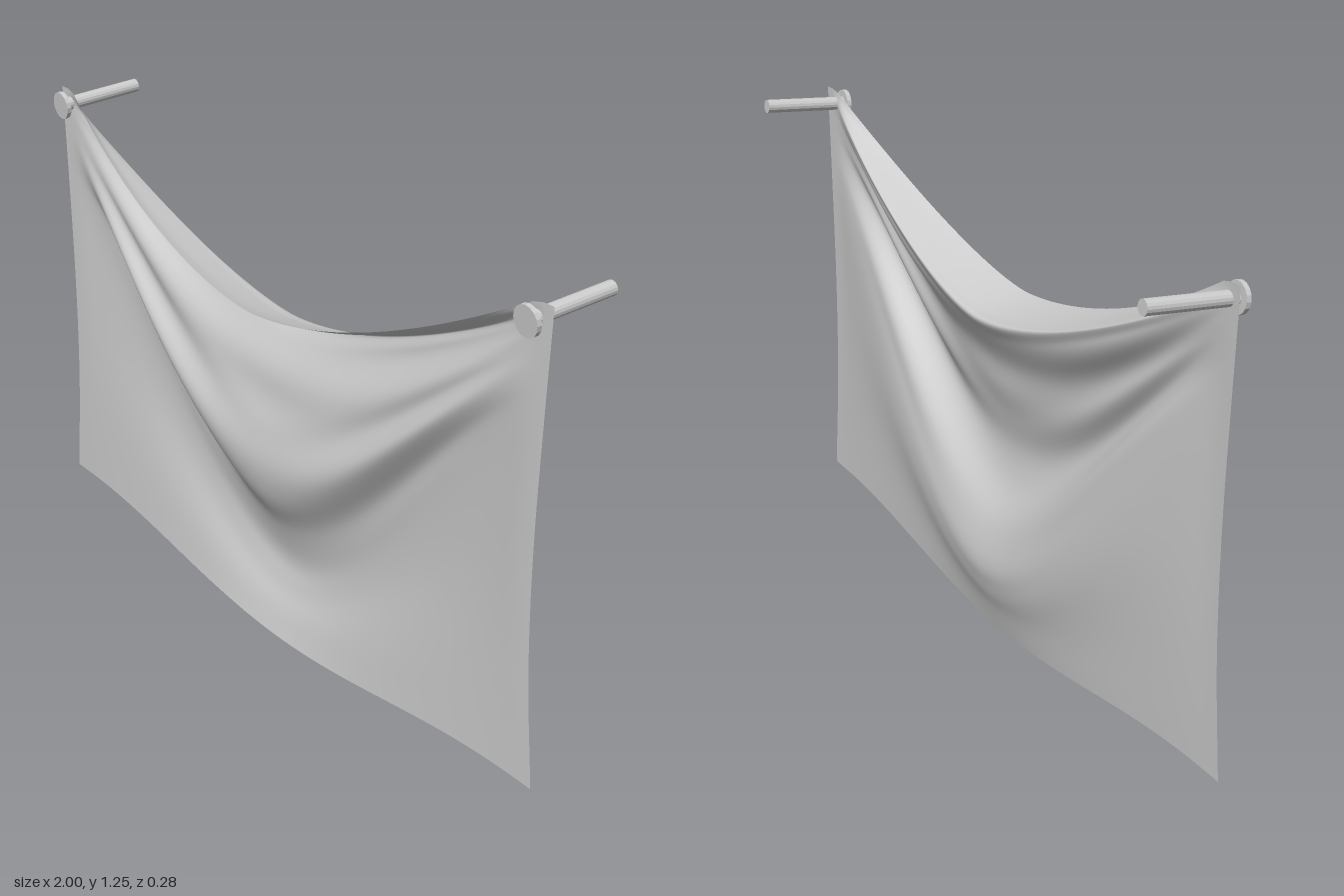
import * as THREE from 'three';

const material = new THREE.MeshStandardMaterial({ color: 0xcccccc, side: THREE.DoubleSide });

// Drape rows from top hem to bottom hem: height at the middle, height at the side edge, depth at the middle
const rows = new THREE.CatmullRomCurve3([
  [0.93, 1.25, 0.14], [0.915, 1.24, 0.10], [0.895, 1.228, 0.035], [0.885, 1.217, 0.0],
  [0.84, 1.2, 0.025], [0.76, 1.18, 0.065], [0.68, 1.16, 0.078], [0.6, 1.14, 0.1],
  [0.51, 1.11, 0.115], [0.42, 1.07, 0.098], [0.32, 1.01, 0.045], [0.22, 0.91, 0.015],
  [0.14, 0.68, 0.025], [0.07, 0.38, 0.05], [0, 0.09, 0.07],
].map((p) => new THREE.Vector3(...p)));

// Half width of the cloth at a given height of its side edge
const sideEdge = new THREE.CatmullRomCurve3([
  [1.0, 0.09], [0.972, 0.45], [0.965, 0.8], [0.973, 1.08], [0.985, 1.25],
].map(([x, y]) => new THREE.Vector3(x, y, 0)));

const REST_Z = 0.07;

function createCloth() {
  const geometry = new THREE.PlaneGeometry(2, 1, 64, 70);
  const pos = geometry.attributes.position;
  const row = new THREE.Vector3();
  for (let i = 0; i < pos.count; i++) {
    const s = pos.getX(i);
    const t = 0.5 - pos.getY(i);
    rows.getPoint(t, row);
    const halfWidth = sideEdge.getPoint(THREE.MathUtils.clamp((row.y - 0.09) / 1.16, 0, 1)).x;
    const a = Math.min(Math.abs(s) / 0.95, 1);
    // Folds swing up to the pinned corners and flatten out there
    const swing = THREE.MathUtils.lerp(Math.pow(a, 1.65), Math.sin(a * Math.PI / 2) ** 2, t * t);
    const depth = 1 - Math.pow(a, 2.2);
    // Fine creases between the middle and the corners
    const crease = 0.012 * Math.sin(t * 34) * (a * (1 - a) * 4) ** 2 * Math.sin(t * Math.PI);
    pos.setXYZ(i, s * halfWidth, THREE.MathUtils.lerp(row.x, row.y, swing),
      REST_Z + (row.z - REST_Z) * depth + crease);
  }
  geometry.computeVertexNormals();
  const cloth = new THREE.Mesh(geometry, material);
  cloth.name = 'cloth';
  return cloth;
}

// Nail through a corner: flat round head in front, shaft rising to the back
function createNail(name, x) {
  const nail = new THREE.Group();
  nail.name = name;
  const add = (part, radius, length, z) => {
    const geometry = new THREE.CylinderGeometry(radius, radius, length, 16).toNonIndexed();
    geometry.rotateX(Math.PI / 2);
    geometry.computeVertexNormals();
    const mesh = new THREE.Mesh(geometry, material);
    mesh.name = part;
    mesh.position.z = z;
    nail.add(mesh);
  };
  add('nailHead', 0.037, 0.012, 0);
  add('nailShaft', 0.018, 0.234, -0.117);
  nail.position.set(x, 1.21, 0.095);
  nail.rotation.x = 0.075;
  return nail;
}

export function createModel() {
  const model = new THREE.Group();
  model.name = 'hangingCloth';
  model.add(createCloth(), createNail('leftNail', 0.935), createNail('rightNail', -0.945));
  return model;
}
